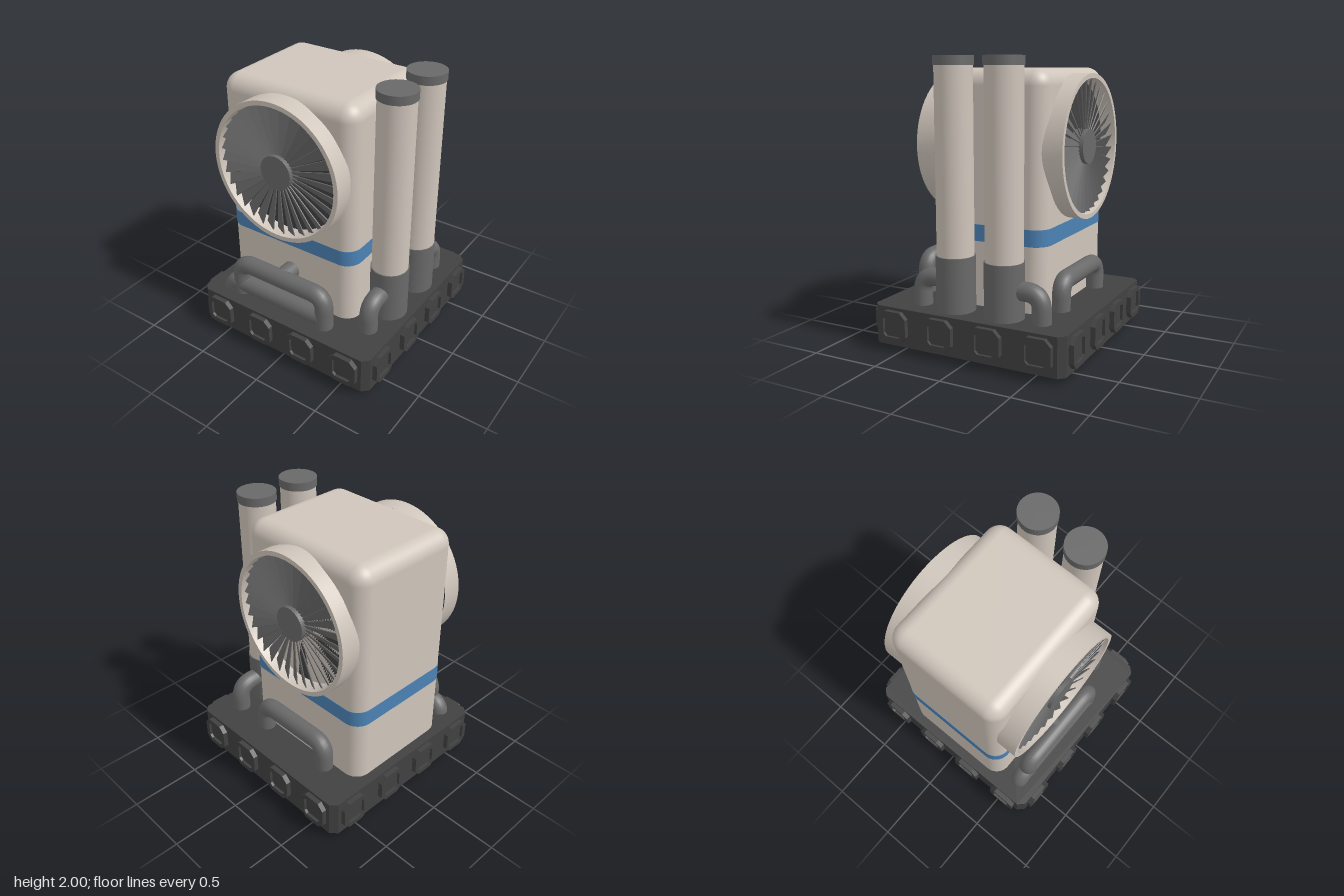
import * as THREE from 'three';
import { RoundedBoxGeometry } from 'three/addons/geometries/RoundedBoxGeometry.js';
import { toCreasedNormals } from 'three/addons/utils/BufferGeometryUtils.js';

const material = (name, color) => Object.assign(new THREE.MeshStandardMaterial({ color }), { name });

const cream = material('cream casing', 0xcfc5bb);
const grey = material('grey metal', 0x696969);
const dark = material('dark base', 0x414141);
const blue = material('blue stripe', 0x4b82b4);

function add(parent, name, geometry, mat, x = 0, y = 0, z = 0) {
  const mesh = new THREE.Mesh(geometry, mat);
  mesh.name = name;
  mesh.position.set(x, y, z);
  parent.add(mesh);
  return mesh;
}

// Rectangle with cut corners, centred on the origin
function cutRect(w, h, c, Type = THREE.Shape) {
  const a = w / 2, b = h / 2;
  return new Type([
    [a - c, -b], [a, -b + c], [a, b - c], [a - c, b],
    [-a + c, b], [-a, b - c], [-a, -b + c], [-a + c, -b],
  ].map(([x, y]) => new THREE.Vector2(x, y)));
}

function roundRect(w, h, r) {
  const a = w / 2 - r, b = h / 2 - r, s = new THREE.Shape();
  s.absarc(a, b, r, 0, Math.PI / 2);
  s.absarc(-a, b, r, Math.PI / 2, Math.PI);
  s.absarc(-a, -b, r, Math.PI, Math.PI * 1.5);
  s.absarc(a, -b, r, Math.PI * 1.5, Math.PI * 2);
  return s;
}

const extrude = (shape, depth) =>
  new THREE.ExtrudeGeometry(shape, { depth, bevelEnabled: false, curveSegments: 10 });

// Round pipe along straight runs joined by rounded bends
function bentPipe(parent, name, coords, bend = 0.1, radius = 0.065) {
  const pts = coords.map((p) => new THREE.Vector3(...p));
  const path = new THREE.CurvePath();
  let from = pts[0];
  for (let i = 1; i < pts.length - 1; i++) {
    const p = pts[i];
    const before = p.clone().add(pts[i - 1].clone().sub(p).setLength(bend));
    const after = p.clone().add(pts[i + 1].clone().sub(p).setLength(bend));
    path.add(new THREE.LineCurve3(from, before));
    path.add(new THREE.QuadraticBezierCurve3(before, p, after));
    from = after;
  }
  path.add(new THREE.LineCurve3(from, pts[pts.length - 1]));
  add(parent, name, new THREE.TubeGeometry(path, 64, radius, 20), grey);
}

// Fan facing +z, with its back at z = 0
function makeFan() {
  const fan = new THREE.Group();
  const profile = [[0.5, -0.02], [0.5, 0.125], [0.468, 0.125], [0.458, 0.01]]
    .map(([x, y]) => new THREE.Vector2(x, y));
  const ring = toCreasedNormals(new THREE.LatheGeometry(profile, 64).rotateX(Math.PI / 2), 0.6);
  add(fan, 'fanRing', ring, cream);
  add(fan, 'fanBackPlate', new THREE.CircleGeometry(0.46, 48), dark, 0, 0, 0.015);
  add(fan, 'fanHub', new THREE.CylinderGeometry(0.12, 0.12, 0.1, 40).rotateX(Math.PI / 2), grey, 0, 0, 0.06);

  // Pitched blades that widen away from the hub
  const count = 32, inner = 0.11, outer = 0.46;
  const blade = new THREE.BoxGeometry(outer - inner, 1, 0.006);
  const pos = blade.attributes.position;
  for (let i = 0; i < pos.count; i++) {
    const r = pos.getX(i) + (inner + outer) / 2;
    pos.setXYZ(i, r, pos.getY(i) * r * Math.PI * 2 / count * 1.15, pos.getZ(i));
  }
  blade.rotateX(0.5);
  blade.computeVertexNormals();
  for (let i = 0; i < count; i++) {
    add(fan, 'fanBlade', blade, grey, 0, 0, 0.075).rotation.z = (i / count) * Math.PI * 2;
  }
  return fan;
}

export function createModel() {
  const model = new THREE.Group();
  model.name = 'ventilationUnit';
  const cx = -0.12;

  // Base slab with cut corners
  add(model, 'base', extrude(cutRect(1.44, 1.44, 0.045), 0.27).rotateX(-Math.PI / 2), dark, 0, 0.04, 0);

  // Four framed studs on each side of the base
  const frame = cutRect(0.215, 0.215, 0.045);
  frame.holes.push(cutRect(0.145, 0.145, 0.02, THREE.Path));
  const frameGeometry = extrude(frame, 0.045);
  const panelGeometry = extrude(cutRect(0.145, 0.145, 0.02), 0.025);
  for (let side = 0; side < 4; side++) {
    const studs = new THREE.Group();
    studs.name = 'baseStuds';
    studs.rotation.y = side * Math.PI / 2;
    for (const x of [-0.54, -0.18, 0.18, 0.54]) {
      add(studs, 'studFrame', frameGeometry, dark, x, 0.182, 0.71);
      add(studs, 'studPanel', panelGeometry, dark, x, 0.182, 0.71);
    }
    model.add(studs);
  }

  // Casing and its stripe
  add(model, 'casing', new RoundedBoxGeometry(1.06, 1.92, 0.87, 6, 0.11), cream, cx, 0.96, 0);
  const stripe = extrude(roundRect(1.066, 0.876, 0.113), 0.115).rotateX(-Math.PI / 2);
  add(model, 'stripe', toCreasedNormals(stripe, 0.6), blue, cx, 0.765, 0);

  // Front and back fans
  const frontFan = makeFan();
  frontFan.name = 'frontFan';
  frontFan.position.set(cx, 1.385, 0.435);
  const backFan = makeFan();
  backFan.name = 'backFan';
  backFan.position.set(cx, 1.385, -0.42);
  backFan.rotation.y = Math.PI;
  model.add(frontFan, backFan);

  // Exhaust stacks with sleeves, caps and elbows
  for (const [z, elbowZ, elbowY] of [[0.155, 0.42, 0.515], [-0.215, -0.485, 0.505]]) {
    const stack = new THREE.Group();
    stack.name = 'exhaustStack';
    add(stack, 'stackPipe', new THREE.CylinderGeometry(0.127, 0.127, 1.65, 48), cream, 0.54, 1.125, z);
    add(stack, 'stackSleeve', new THREE.CylinderGeometry(0.135, 0.135, 0.39, 48), grey, 0.54, 0.495, z);
    add(stack, 'stackCap', new THREE.CylinderGeometry(0.134, 0.134, 0.06, 48), grey, 0.54, 1.97, z);
    bentPipe(stack, 'stackElbow', [[0.54, elbowY, z], [0.54, elbowY, elbowZ], [0.54, 0.25, elbowZ]], 0.11);
    model.add(stack);
  }

  // Front pipework
  const zf = 0.565;
  bentPipe(model, 'frontUpperPipe', [[-0.455, 0.25, zf], [-0.455, 0.557, zf], [0.27, 0.557, zf], [0.27, 0.25, zf]]);
  bentPipe(model, 'frontLowerPipe', [[-0.555, 0.2, zf], [-0.555, 0.375, zf], [0.27, 0.375, zf]]);
  bentPipe(model, 'frontPipeInlet', [[-0.1, 0.557, zf], [-0.1, 0.557, 0.4]]);

  // Back pipework
  const zb = -0.485;
  bentPipe(model, 'backPipe', [[-0.38, 0.25, zb], [-0.38, 0.505, zb], [0.235, 0.505, zb], [0.235, 0.25, zb]]);

  return model;
}
